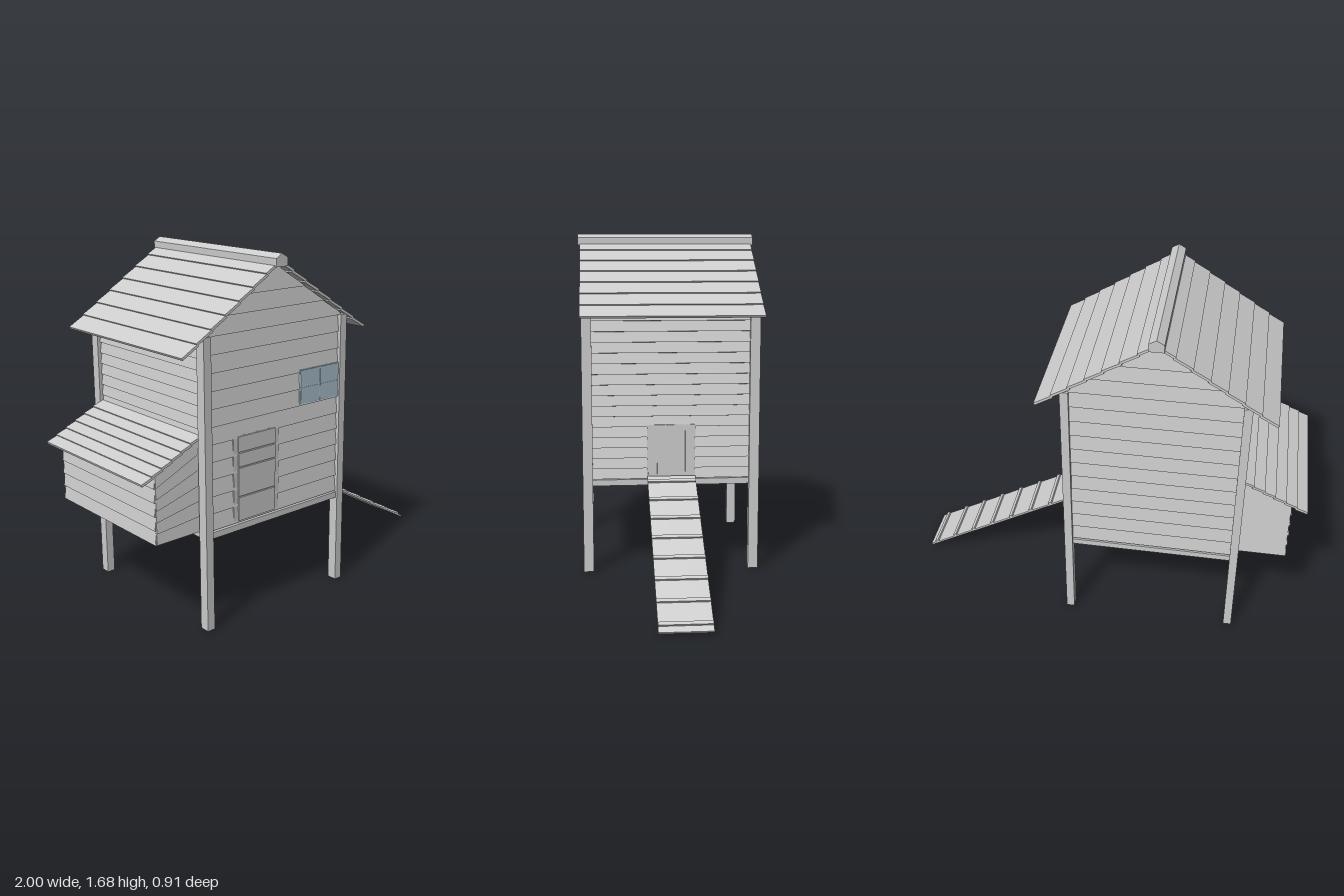
import * as THREE from 'three';

const mat = (name, color) => {
  const m = new THREE.MeshStandardMaterial({ color });
  m.name = name;
  return m;
};

export function createModel() {
  const wood = mat('pale grey timber', 0xcccccc);
  const glass = mat('window glass', 0xacc4d0);
  const trim = mat('window bars', 0xbccad2);
  const root = new THREE.Group();
  root.name = 'henHouse';
  const CX = -0.27; // centre of the house in x

  const group = (name, parent = root) => {
    const g = new THREE.Group();
    g.name = name;
    parent.add(g);
    return g;
  };
  const box = (name, w, h, d, x, y, z, parent = root, material = wood) => {
    const m = new THREE.Mesh(new THREE.BoxGeometry(w, h, d), material);
    m.name = name;
    m.position.set(x, y, z);
    parent.add(m);
    return m;
  };
  const prism = (name, pts, depth, parent = root) => {
    const shape = new THREE.Shape(pts.map(p => new THREE.Vector2(p[0], p[1])));
    const m = new THREE.Mesh(new THREE.ExtrudeGeometry(shape, { depth, bevelEnabled: false }), wood);
    m.name = name;
    parent.add(m);
    return m;
  };

  // Lapped boards, each leaning out at its lower edge; half(y) is the half width
  const wall = (name, half, y0, y1, pitch, corner, x, z, turn) => {
    const g = group(name);
    g.position.set(x, 0, z);
    g.rotation.y = turn;
    for (let y = y0; y < y1 - 0.005; y += pitch) {
      const top = Math.min(y + pitch + 0.004, y1);
      const levels = [y, top];
      if (corner > y && corner < top) levels.splice(1, 0, corner);
      const right = levels.map(v => [half(v), v - top]);
      const left = levels.map(v => [-half(v), v - top]).reverse();
      const b = prism('wallBoard', [...right, ...left], 0.012, g);
      b.position.y = top;
      b.rotation.x = -0.01 / pitch;
    }
    return g;
  };

  // Lapped boards going down a slope from (ax, ay) to (bx, by)
  const slope = (name, ax, ay, bx, by, n, depth) => {
    const g = group(name);
    const len = Math.hypot(bx - ax, by - ay);
    g.position.set(ax, ay, 0);
    g.rotation.y = bx < ax ? Math.PI : 0;
    const pitched = group(name + 'Boards', g);
    pitched.rotation.z = -Math.atan2(ay - by, Math.abs(bx - ax));
    const step = len / n;
    for (let i = 0; i < n; i++) {
      const b = box('roofBoard', step * 1.06, 0.012, depth, (i + 0.5) * step, 0, 0, pitched);
      b.rotation.z = 0.006 / step;
    }
    return g;
  };

  // Corner posts and floor
  for (const x of [-0.68, 0.14])
    for (const z of [-0.415, 0.415]) box('cornerPost', 0.04, 1.36, 0.05, x, 0.68, z);
  box('floor', 0.84, 0.03, 0.86, CX, 0.455, 0);

  // Gable walls and side walls
  const gable = y => Math.max(0.01, Math.min(0.4, (1.625 - y) / 0.648));
  wall('frontWall', gable, 0.475, 1.62, 0.08, 1.366, CX, 0.405, 0);
  wall('backWall', gable, 0.475, 1.62, 0.08, 1.366, CX, -0.405, Math.PI);
  const flat = () => 0.4;
  wall('rightWall', flat, 0.47, 1.37, 0.0525, 9, 0.125, 0, Math.PI / 2);
  wall('leftWall', flat, 0.47, 1.37, 0.0525, 9, -0.665, 0, -Math.PI / 2);

  // Main roof and ridge cap
  slope('roofRight', CX, 1.645, 0.272, 1.286, 7, 0.89);
  slope('roofLeft', CX, 1.645, -0.812, 1.286, 7, 0.89);
  const cap = prism('ridgeCap',
    [[-0.035, 1.622], [0.035, 1.622], [0.035, 1.66], [0, 1.68], [-0.035, 1.66]], 0.91);
  cap.position.set(CX, 0, -0.455);

  // Front door: horizontal planks with fine gaps
  const door = group('frontDoor');
  box('doorPanel', 0.27, 0.41, 0.012, -0.395, 0.685, 0.42, door);
  for (const [a, b] of [[0.485, 0.597], [0.603, 0.737], [0.743, 0.807], [0.813, 0.885]])
    box('doorPlank', 0.22, b - a, 0.006, -0.395, (a + b) / 2, 0.429, door);

  // Window with four panes
  const win = group('window');
  box('windowBars', 0.25, 0.165, 0.008, -0.005, 1.047, 0.427, win, trim);
  for (const x of [-0.068, 0.058])
    for (const y of [1.006, 1.088]) box('windowPane', 0.12, 0.077, 0.004, x, y, 0.431, win, glass);

  // Small hen door made of upright planks
  const hatch = group('henDoor');
  box('henDoorPanel', 0.008, 0.27, 0.24, 0.143, 0.61, 0, hatch);
  const cuts = [-0.118, -0.067, -0.018, 0.029, 0.073, 0.118];
  for (let i = 0; i < 5; i++)
    box('henDoorPlank', 0.008, 0.25, cuts[i + 1] - cuts[i] - 0.006, 0.149, 0.62,
      (cuts[i] + cuts[i + 1]) / 2, hatch);

  // Nest box: fanned side boards, outer wall, bottom and lid
  for (const s of [-1, 1]) {
    const side = group('nestSide');
    for (let i = 0; i < 6; i++) {
      const outer = k => 0.47 + k * 0.052, inner = k => 0.47 + k * 0.073;
      const mid = outer(i + 1);
      const b = prism('nestBoard', [[-0.925, outer(i) - mid], [-0.68, inner(i) - mid],
        [-0.68, inner(i + 1) - mid + 0.003], [-0.925, 0.003]], 0.01, side);
      b.position.set(0, mid, s > 0 ? 0.37 : -0.38);
      b.rotation.x = -s * 0.09;
    }
  }
  wall('nestOuterWall', () => 0.378, 0.47, 0.79, 0.064, 9, -0.91, 0, -Math.PI / 2);
  box('nestBottom', 0.25, 0.012, 0.76, -0.805, 0.474, 0);
  slope('nestLid', -0.685, 0.915, -0.998, 0.762, 6, 0.785);

  // Ramp with rungs
  const ramp = group('ramp');
  const dx = 0.841, dy = 0.473, len = Math.hypot(dx, dy);
  ramp.position.set(0.155, 0.483, 0);
  ramp.rotation.z = -Math.atan2(dy, dx);
  box('rampBoard', len, 0.01, 0.24, len / 2, 0, 0, ramp);
  for (let i = 0; i < 8; i++)
    box('rampRung', 0.018, 0.01, 0.24, (0.035 + i * 0.11) * len / dx, 0.009, 0, ramp);

  return root;
}
